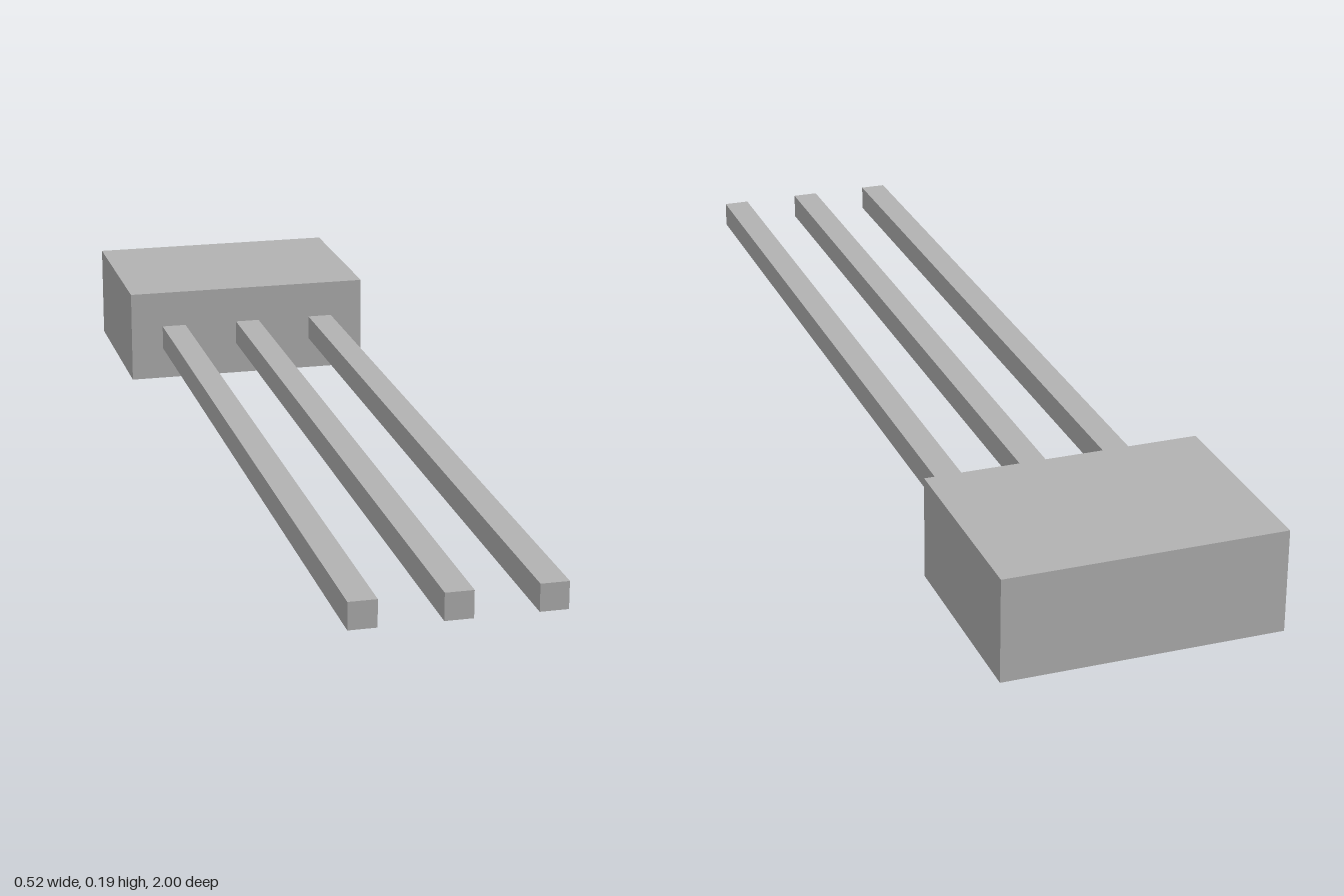
import * as THREE from 'three';

export function createModel() {
  const model = new THREE.Group();
  const grey = new THREE.MeshStandardMaterial({ color: 0xb2b2b2 });
  grey.name = 'grey';

  // Box spanning zBack..zFront, centred on x and y
  function addBar(name, width, height, zBack, zFront, x, y) {
    const mesh = new THREE.Mesh(new THREE.BoxGeometry(width, height, zFront - zBack), grey);
    mesh.name = name;
    mesh.position.set(x, y, (zBack + zFront) / 2);
    model.add(mesh);
  }

  // Component body
  const bodyFront = -0.615;
  addBar('body', 0.516, 0.193, -1, bodyFront, 0, 0.0965);

  // Three square leads, starting at the body's front face
  const names = ['rightLead', 'middleLead', 'leftLead'];
  names.forEach((name, i) => addBar(name, 0.051, 0.05, bodyFront, 1, (i - 1) * 0.164, 0.092));

  return model;
}
